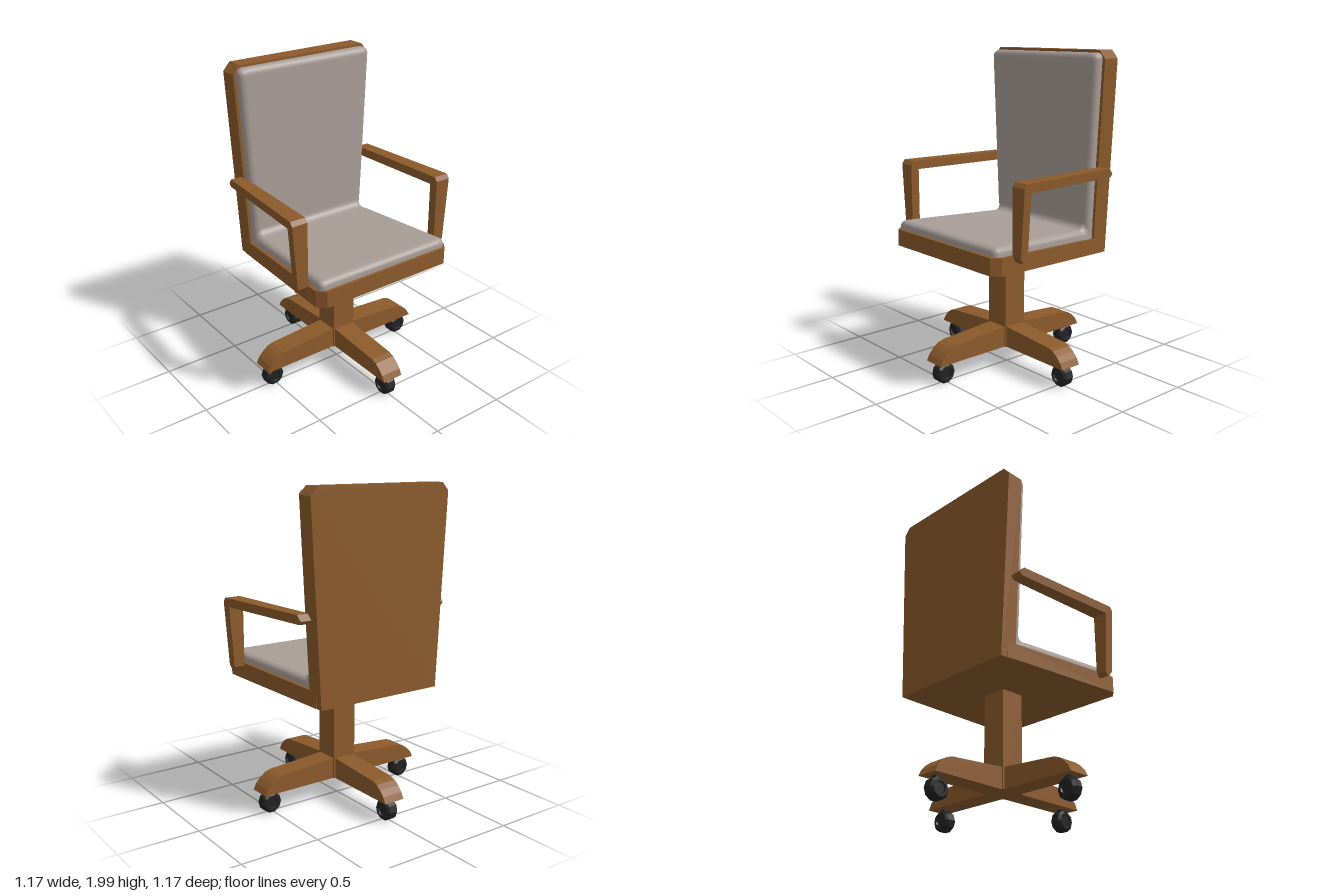
import * as THREE from 'three';

const mat = (name, color) => {
  const m = new THREE.MeshStandardMaterial({ color });
  m.name = name;
  return m;
};
const lerp = THREE.MathUtils.lerp;

export function createModel() {
  const chair = new THREE.Group();
  chair.name = 'officeChair';
  const wood = mat('wood', 0x8b5a2b);
  const fabric = mat('fabric', 0xa89d97);
  const rubber = mat('blackRubber', 0x222222);

  const add = (parent, name, geometry, material) => {
    const mesh = new THREE.Mesh(geometry, material);
    mesh.name = name;
    parent.add(mesh);
    return mesh;
  };
  const prism = (points, depth) => new THREE.ExtrudeGeometry(
    new THREE.Shape(points.map(([x, y]) => new THREE.Vector2(x, y))),
    { depth, bevelEnabled: false });
  // Move every vertex by a rule, then refresh the flat normals
  const remap = (geometry, rule) => {
    const p = geometry.attributes.position;
    const v = new THREE.Vector3();
    for (let i = 0; i < p.count; i++) {
      rule(v.fromBufferAttribute(p, i));
      p.setXYZ(i, v.x, v.y, v.z);
    }
    geometry.computeVertexNormals();
    return geometry;
  };

  // Seat frame: tapered outline with a gently sloping top and underside
  const seatTop = (z) => lerp(0.85, 0.885, (z + 0.335) / 0.85);
  const seat = prism([[-0.45, -0.515], [0.45, -0.515], [0.495, -0.465],
    [0.435, 0.4], [-0.435, 0.4], [-0.495, -0.465]], 1).rotateX(-Math.PI / 2);
  add(chair, 'seatFrame', remap(seat, (v) => {
    v.y = v.y > 0.5 ? seatTop(v.z) : lerp(0.75, 0.78, (v.z + 0.445) / 0.96);
  }), wood);

  // Backrest frame: widens upward, clipped top corners
  const back = prism([[-0.43, 0.75], [0.43, 0.75], [0.495, 1.95], [0.45, 2],
    [-0.45, 2], [-0.495, 1.95]], 0.11);
  add(chair, 'backFrame', back.translate(0, 0, -0.445), wood);

  // One-piece cushion: rounded cross-sections swept along the L of seat and back
  const stations = []; // base z, base y, top z, top y, half width
  const r = 0.04;
  const seatHalf = (z) => lerp(0.418, 0.475, (z + 0.335) / 0.8);
  const backHalf = (y) => lerp(0.418, 0.475, (y - 0.85) / 1.1);
  const onSeat = (z, f, inset) => {
    const yb = seatTop(z);
    const yt = lerp(0.912, 0.94, (z + 0.235) / 0.73);
    stations.push([z, yb, z, lerp(yb, yt, f), seatHalf(z) - inset]);
  };
  const onBack = (y, f, inset) =>
    stations.push([-0.335, y, lerp(-0.335, -0.28, f), y, backHalf(y) - inset]);
  const ends = [];
  for (let k = 0; k <= 6; k++) {
    const a = (k / 6) * Math.PI / 2;
    ends.push([r * (1 - Math.cos(a)), 0.4 + 0.6 * Math.sin(a), r * (1 - Math.sin(a))]);
  }
  onSeat(0.495, 0, r);
  // Rounded ends: a quarter turn runs from the edge up to full thickness
  ends.forEach(([e, f, inset]) => onSeat(0.495 - e, f, inset));
  for (const z of [0.42, 0.3, 0.1, -0.1, -0.2]) onSeat(z, 1, 0);
  for (let k = 0; k <= 6; k++) {
    const a = (k / 6) * Math.PI / 2;
    stations.push([-0.335, 0.85, -0.235 - 0.045 * Math.sin(a), 0.957 - 0.045 * Math.cos(a), 0.42]);
  }
  for (const y of [1, 1.2, 1.5, 1.8, 1.9]) onBack(y, 1, 0);
  ends.slice().reverse().forEach(([e, f, inset]) => onBack(1.985 - e, f, inset));
  onBack(1.985, 0, r);

  const half = [[0, 0]]; // inset from the side, share of the thickness
  for (let k = 0; k <= 6; k++) {
    const a = (k / 6) * Math.PI / 2;
    half.push([r * (1 - Math.cos(a)), 0.4 + 0.6 * Math.sin(a)]);
  }
  const section = [...half.map(([i, f]) => [-1, i, f]),
    ...half.slice().reverse().map(([i, f]) => [1, i, f])];
  const position = [];
  const index = [];
  const n = section.length;
  stations.forEach(([zb, yb, zt, yt, w], i) => section.forEach(([s, inset, f], j) => {
    position.push(s * (w - inset), lerp(yb, yt, f), lerp(zb, zt, f));
    if (i && j) {
      const d = i * n + j;
      const b = d - n;
      index.push(b - 1, b, d - 1, b, d, d - 1);
    }
  }));
  const cushion = new THREE.BufferGeometry();
  cushion.setAttribute('position', new THREE.Float32BufferAttribute(position, 3));
  cushion.setIndex(index);
  cushion.computeVertexNormals();
  add(chair, 'cushion', cushion, fabric);

  // Armrests: rail and post in one profile, flaring outward to the front
  const armProfile = [[-0.36, 1.3], [0.36, 1.3], [0.39, 1.265], [0.375, 1.245],
    [-0.325, 1.245], [-0.325, 0.86], [-0.34, 0.84], [-0.355, 0.84],
    [-0.38, 0.87], [-0.38, 1.275]];
  for (const side of [1, -1]) {
    const arm = prism(armProfile, 1).rotateY(Math.PI / 2);
    add(chair, side > 0 ? 'leftArm' : 'rightArm', remap(arm, (v) => {
      const t = (v.z + 0.39) / 0.77;
      const inner = lerp(0.45, 0.485, t);
      const outer = lerp(0.53, 0.588, t) - (1.3 - v.y) * 0.072;
      v.x = (v.x > 0.5) === (side > 0) ? side * outer : side * inner;
    }), wood);
  }

  // Column
  add(chair, 'column', new THREE.BoxGeometry(0.16, 0.625, 0.16).translate(0, 0.4525, 0), wood);

  // Four legs, each with a caster rolling along its length
  const legProfile = [[0, 0.14], [0.585, 0.14], [0.565, 0.178], [0.535, 0.21],
    [0.5, 0.235], [0.465, 0.247], [0.07, 0.275], [0, 0.275]];
  const wheelProfile = [[0, -0.03], [0.032, -0.03], [0.036, -0.04], [0.052, -0.04],
    [0.066, -0.026], [0.066, 0.026], [0.052, 0.04], [0.036, 0.04], [0.032, 0.03], [0, 0.03]]
    .map(([x, y]) => new THREE.Vector2(x, y));
  for (let i = 0; i < 4; i++) {
    const leg = new THREE.Group();
    leg.name = 'leg' + (i + 1);
    leg.rotation.y = i * Math.PI / 2;
    add(leg, 'legBeam', prism(legProfile, 0.14).translate(0, 0, -0.07), wood);
    const wheel = new THREE.LatheGeometry(wheelProfile, 10).toNonIndexed();
    wheel.rotateX(Math.PI / 2).rotateZ(Math.PI / 10).translate(0.513, 0.068, 0);
    wheel.computeVertexNormals();
    add(leg, 'casterWheel', wheel, rubber);
    add(leg, 'casterStem', new THREE.BoxGeometry(0.04, 0.04, 0.04).translate(0.513, 0.13, 0), rubber);
    chair.add(leg);
  }
  return chair;
}
